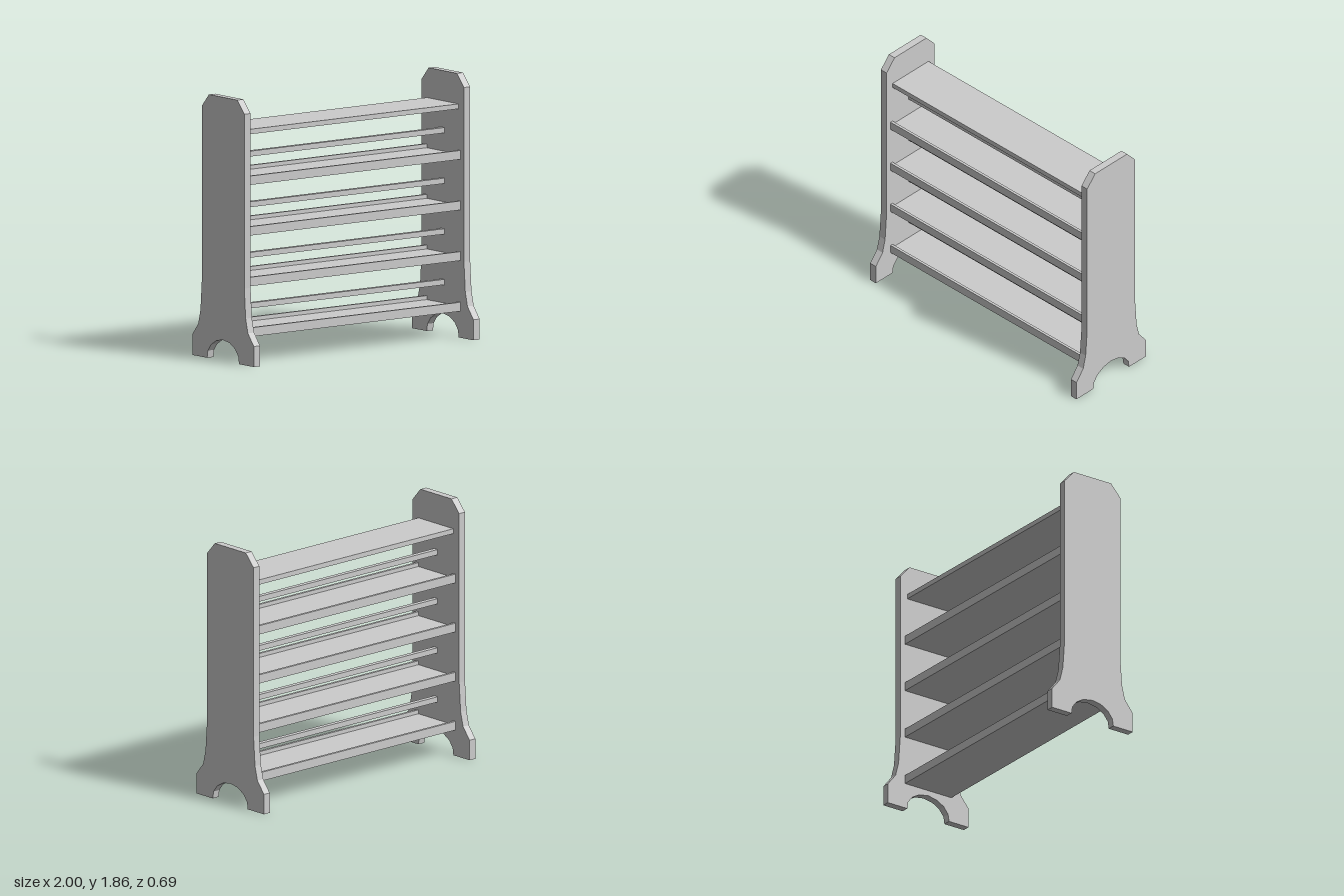
import * as THREE from 'three';

const material = new THREE.MeshStandardMaterial({ color: 0xcccccc, flatShading: true });
const HALF = 1;          // half of the overall width
const PANEL = 0.055;     // side panel thickness
const SPAN = 2 * (HALF - PANEL);
const PITCH = 0.357;     // vertical distance between shelves

function bar(name, bottom, height, depth, z = 0) {
  const mesh = new THREE.Mesh(new THREE.BoxGeometry(SPAN, height, depth), material);
  mesh.name = name;
  mesh.position.set(0, bottom + height / 2, z);
  return mesh;
}

// Side panel outline: flared feet, arched cut-out and clipped top corners
function panelGeometry() {
  const half = [
    [0, 0.148], [0.075, 0.135], [0.135, 0.1], [0.172, 0.052], [0.18, 0],
    [0.347, 0], [0.347, 0.145], [0.28, 0.23], [0.255, 0.33], [0.24, 0.54],
    [0.24, 1.77], [0.16, 1.86],
  ];
  const mirrored = half.slice(1).reverse().map(([z, y]) => [-z, y]);
  const outline = [...half, ...mirrored].map(([z, y]) => new THREE.Vector2(z, y));
  const geometry = new THREE.ExtrudeGeometry(new THREE.Shape(outline), { depth: PANEL, bevelEnabled: false });
  geometry.translate(0, 0, -PANEL / 2);
  geometry.rotateY(Math.PI / 2);
  return geometry;
}

export function createModel() {
  const group = new THREE.Group();
  group.name = 'shelfRack';

  // Two side panels
  const geometry = panelGeometry();
  for (const [name, side] of [['leftPanel', 1], ['rightPanel', -1]]) {
    const panel = new THREE.Mesh(geometry, material);
    panel.name = name;
    panel.position.x = side * (HALF - PANEL / 2);
    group.add(panel);
  }

  // Four lipped shelves, each with a central divider rail above it
  for (let i = 0; i < 4; i++) {
    const y = 0.187 + i * PITCH;
    const shelf = new THREE.Group();
    shelf.name = 'shelf' + (i + 1);
    shelf.add(
      bar('shelfBoard', y, 0.035, 0.36),
      bar('frontLip', y, 0.063, 0.02, 0.19),
      bar('backLip', y, 0.063, 0.02, -0.19),
      bar('centreRail', y + 0.164, 0.038, 0.036),
    );
    group.add(shelf);
  }

  // Plain top shelf
  group.add(bar('topShelf', 1.612, 0.035, 0.36));
  return group;
}
